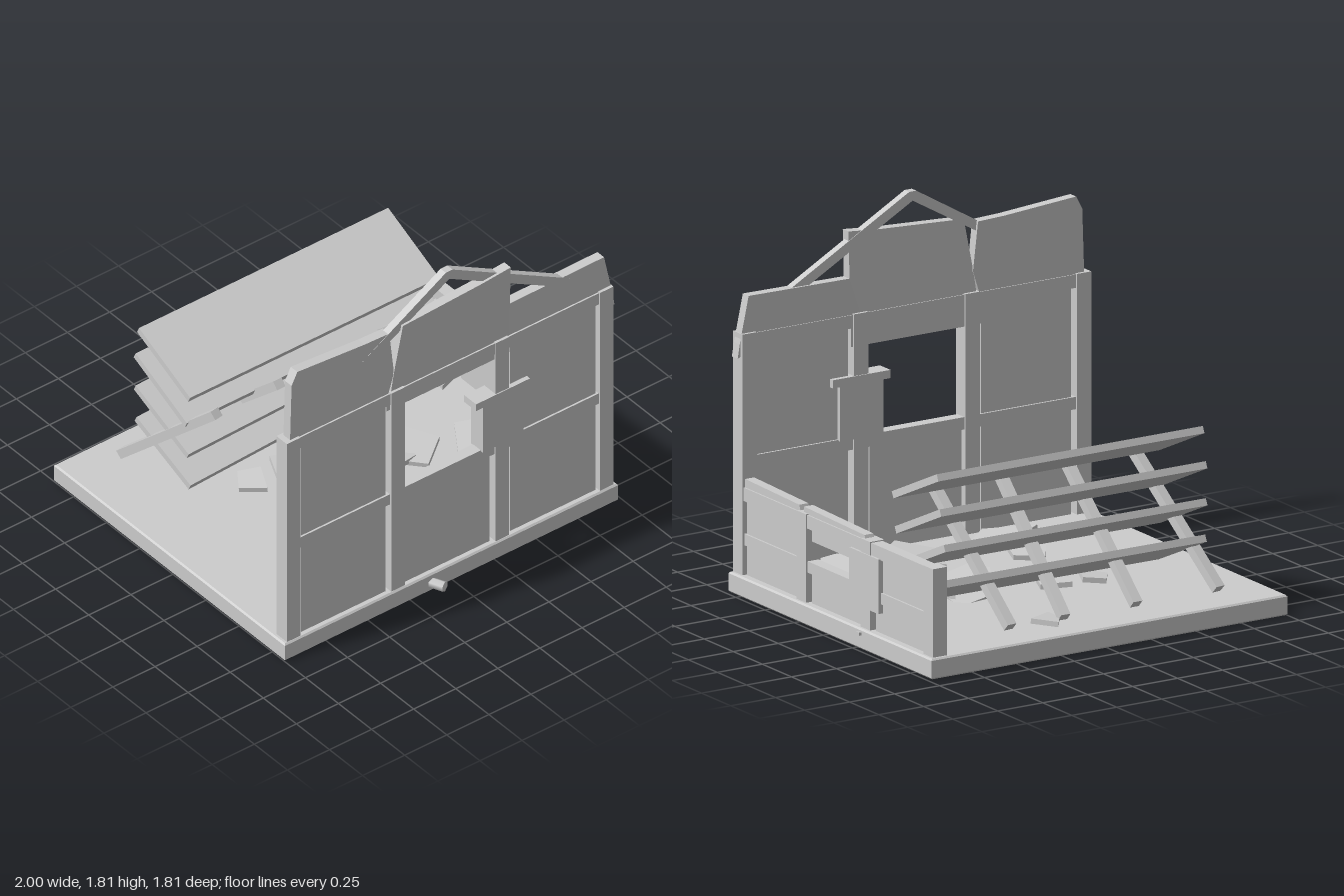
import * as THREE from 'three';

export function createModel() {
  const root = new THREE.Group();
  root.name = 'ruinedHouse';
  const plaster = new THREE.MeshStandardMaterial({ color: 0xcccccc });
  plaster.name = 'pale grey';

  const add = (name, geo, parent = root) => {
    const mesh = new THREE.Mesh(geo, plaster);
    mesh.name = name;
    parent.add(mesh);
    return mesh;
  };
  // Box given by its lower and upper corners
  const block = (name, x0, x1, y0, y1, z0, z1, parent) => {
    const mesh = add(name, new THREE.BoxGeometry(x1 - x0, y1 - y0, z1 - z0), parent);
    mesh.position.set((x0 + x1) / 2, (y0 + y1) / 2, (z0 + z1) / 2);
    return mesh;
  };
  const outline = (pts) => new THREE.Shape(pts.map(([x, y]) => new THREE.Vector2(x, y)));
  const slab = (pts, depth) =>
    new THREE.ExtrudeGeometry(outline(pts), { depth, bevelEnabled: false });

  // Foundation with softened edges
  const e = 0.008;
  const foundation = new THREE.ExtrudeGeometry(
    outline([[-1 + e, -0.845 + e], [0.98 - e, -0.845 + e], [0.98 - e, 0.9 - e], [-1 + e, 0.9 - e]]),
    { depth: 0.1 - 2 * e, bevelSize: e, bevelThickness: e, bevelSegments: 1 });
  foundation.rotateX(-Math.PI / 2).translate(0, e, 0);
  add('foundation', foundation);

  // Front wall
  const front = new THREE.Group();
  front.name = 'frontWall';
  root.add(front);
  for (const x of [-0.98, -0.36, 0.26, 0.88])
    block('frontPost', x, x + 0.08, 0.1, 1.27, 0.755, 0.835, front);
  block('middleRail', -0.94, 0.92, 0.61, 0.67, 0.765, 0.825, front);
  block('topRail', -0.95, 0.93, 1.2, 1.265, 0.765, 0.828, front);
  for (const [a, b] of [[-0.88, -0.38], [-0.27, 0.24], [0.36, 0.87]]) {
    block('lowerPanel', a, b, 0.1, 0.62, 0.775, 0.815, front);
    if (a !== -0.27) block('upperPanel', a, b, 0.66, 1.21, 0.775, 0.815, front);
  }
  block('windowPatch', 0.18, 0.42, 0.665, 0.94, 0.75, 0.84, front);
  block('windowSill', 0.14, 0.46, 0.93, 0.97, 0.75, 0.84, front);

  // Sloped lintel above the window
  const lintel = slab([[-0.825, 1.2], [-0.825, 1.17], [-0.765, 1.11], [-0.765, 1.2]], 0.73);
  lintel.rotateY(Math.PI / 2).translate(-0.38, 0, 0);
  add('lintel', lintel, front);

  // Broken upper wall
  const broken = [
    [[-0.95, 1.25], [-0.37, 1.25], [-0.33, 1.37], [-0.355, 1.61], [-0.5, 1.615], [-0.9, 1.645], [-0.935, 1.58]],
    [[-0.36, 1.2], [0.35, 1.2], [0.355, 1.67], [0.19, 1.655], [-0.285, 1.63], [-0.335, 1.37]],
    [[0.29, 1.25], [0.88, 1.2], [0.975, 1.15], [0.965, 1.22], [0.92, 1.45], [0.36, 1.445]],
  ];
  broken.forEach((pts, i) => {
    const geo = slab(pts, 0.05);
    // Lean each piece a little
    const pos = geo.attributes.position;
    for (let k = 0; k < pos.count; k++)
      pos.setZ(k, pos.getZ(k) + 0.77 + (pos.getY(k) - 1.25) * [-0.02, 0.02, -0.03][i]);
    geo.computeVertexNormals();
    add('brokenUpperWall', geo, front);
  });

  // Roof rafters
  const rafters = slab([[-0.55, 1.5], [-0.55, 1.45], [0, 1.765], [0.75, 1.35], [0.75, 1.405], [0.02, 1.81], [-0.02, 1.81]], 0.04);
  add('roofRafters', rafters.translate(0, 0, 0.775), front);

  // Low side wall
  const side = new THREE.Group();
  side.name = 'sideWall';
  root.add(side);
  for (const z of [-0.88, -0.34, 0.21])
    block('sidePost', 0.88, 0.96, 0.1, 0.53, z, z + 0.08, side);
  block('sideRail', 0.89, 0.95, 0.245, 0.3, -0.84, 0.76, side);
  block('sideTopRail', 0.89, 0.953, 0.46, 0.525, -0.84, 0.76, side);
  for (const [a, b] of [[-0.79, -0.36], [-0.24, 0.19], [0.31, 0.745]]) {
    block('sideLowerPanel', 0.9, 0.94, 0.1, 0.25, a, b, side);
    block('sideUpperPanel', 0.9, 0.94, a === -0.24 ? 0.4 : 0.29, 0.47, a, b, side);
  }
  block('sidePatch', 0.875, 0.965, 0.2, 0.465, -0.42, -0.17, side);
  // Jagged wall remains on top of the rail
  for (const [z0, z1, y0, y1] of [[0.27, 0.755, 0.555, 0.566], [-0.29, 0.25, 0.545, 0.556]]) {
    const crest = slab([[-z1, 0.5], [-z0, 0.5], [-z0 - 0.02, y0], [-z1, y1]], 0.05);
    add('sideWallCrest', crest.rotateY(Math.PI / 2).translate(0.895, 0, 0), side);
  }

  // Collapsed rack: long boards over leaning supports
  const rack = new THREE.Group();
  rack.name = 'collapsedRack';
  root.add(rack);
  [[0.805, -0.465, 0], [0.64, -0.49, 0], [0.465, -0.5, 0.025], [0.29, -0.5, 0.04]].forEach(([y, z, turn]) => {
    const board = add('longBoard', new THREE.BoxGeometry(1.48, 0.035, 0.425), rack);
    board.position.set(0.05, y, z);
    board.rotation.set(0.43, turn, 0);
  });
  for (const [x0, x1] of [[-0.72, -0.63], [-0.26, -0.26], [0.14, 0.11], [0.44, 0.48]]) {
    const support = add('leaningSupport', new THREE.BoxGeometry(0.05, 0.045, 0.82), rack);
    support.position.set((x0 + x1) / 2, 0.41, -0.44);
    support.rotation.set(-0.74, Math.atan2(x1 - x0, 0.6), 0, 'YXZ');
  }

  // Rubble plates on the floor, as x, z outlines
  const plates = [
    [[-0.45, -0.2], [-0.35, -0.11], [-0.28, -0.25], [-0.38, -0.3]],
    [[-0.28, -0.11], [-0.14, -0.06], [-0.06, -0.23], [-0.2, -0.29]],
    [[0.02, 0.08], [0.08, 0.18], [0.35, 0.12], [0.38, -0.22], [0.18, -0.19]],
    [[0.38, -0.18], [0.28, 0.11], [0.36, 0.2], [0.52, 0.08]],
    [[0.64, 0.04], [0.49, 0.27], [0.7, 0.35], [0.79, 0.11]],
    [[-0.36, 0.19], [-0.46, 0.34], [-0.28, 0.4], [-0.24, 0.28]],
    [[-0.37, 0.45], [-0.57, 0.58], [-0.37, 0.75], [-0.18, 0.57]],
    [[0.1, 0.33], [-0.01, 0.57], [0.12, 0.75], [0.34, 0.55]],
    [[0.18, 0.37], [0.27, 0.48], [0.36, 0.48], [0.37, 0.31]],
    [[0.5, 0.36], [0.43, 0.55], [0.4, 0.68], [0.45, 0.74], [0.84, 0.74], [0.75, 0.43]],
    [[0.82, -0.48], [0.76, -0.2], [0.88, -0.25], [0.88, -0.38]],
    [[0.21, -0.8], [0.14, -0.7], [0.14, -0.6], [0.3, -0.7]],
  ];
  plates.forEach((pts, i) => {
    const cx = pts.reduce((s, p) => s + p[0], 0) / pts.length;
    const cz = pts.reduce((s, p) => s + p[1], 0) / pts.length;
    const geo = slab(pts.map(([x, z]) => [x - cx, cz - z]), 0.025).rotateX(-Math.PI / 2);
    const plate = add('rubblePlate', geo);
    plate.position.set(cx, 0.107, cz);
    plate.rotation.set(0.1 * Math.sin(i * 2.3), 0, 0.1 * Math.cos(i * 1.7));
  });

  // Small stones stuck on the foundation edge
  const stone = add('frontStone', new THREE.CylinderGeometry(0.027, 0.027, 0.12, 6));
  stone.position.set(-0.12, 0.045, 0.85);
  stone.rotation.set(Math.PI / 2, 0, -0.4);
  block('sideStone', 0.96, 0.995, 0.07, 0.085, -0.3, -0.28);

  return root;
}
